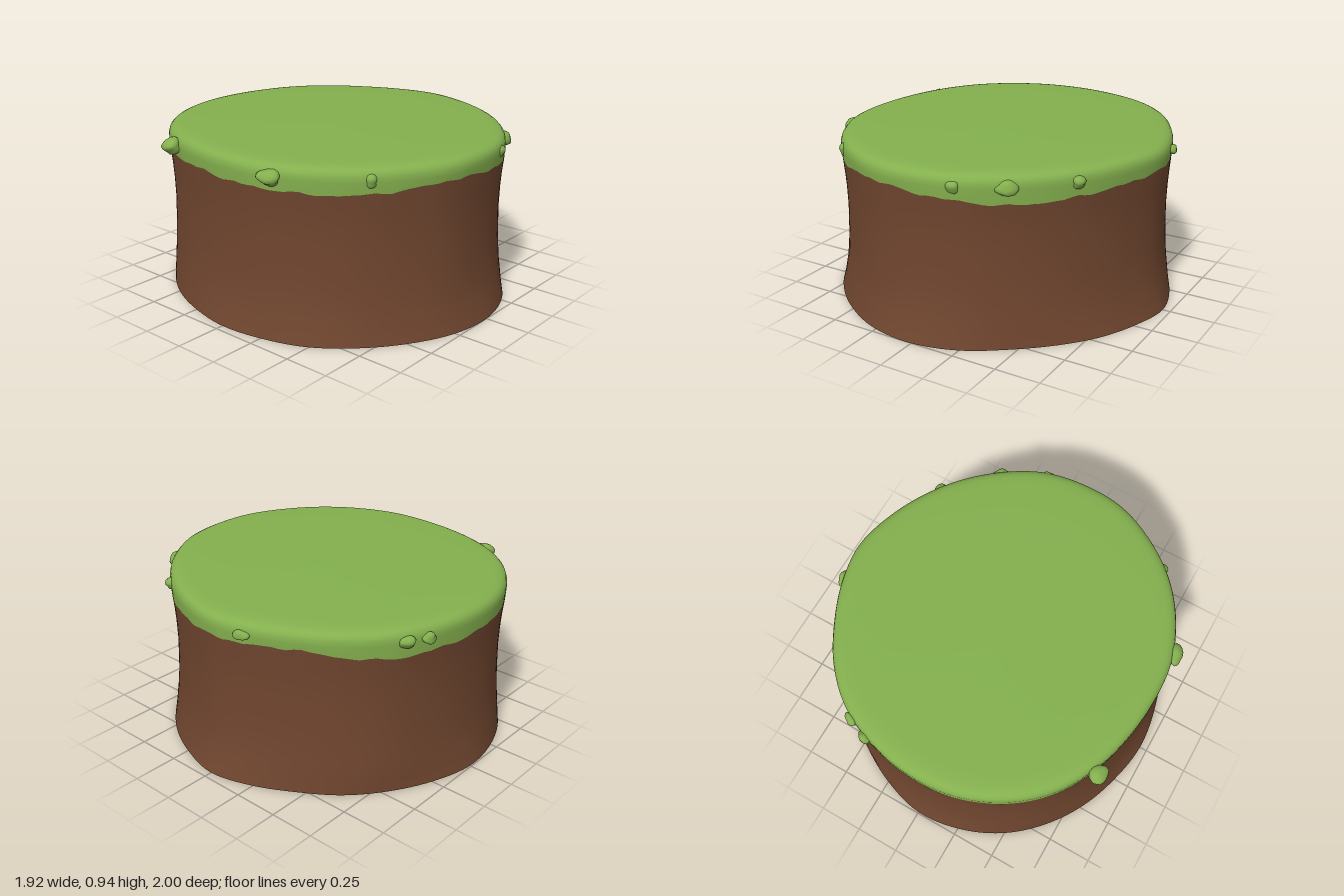
import * as THREE from 'three';
import { mergeVertices } from 'three/addons/utils/BufferGeometryUtils.js';

const SEG = 144;

// Values every 15 degrees, starting at +x and turning towards +z
const BASE = [.957, .932, .919, .911, .925, .97, 1, 1.002, .987, .98, .98, .963,
  .958, .947, .955, .97, .987, .994, .993, .96, .935, .922, .91, .93];
const RIM = [.902, .882, .874, .881, .9, .93, .943, .955, .946, .941, .931, .922,
  .905, .908, .93, .956, .966, .965, .953, .942, .936, .915, .893, .894];
const EDGE = [.8, .795, .785, .772, .765, .785, .8, .815, .8, .785, .785, .79,
  .79, .8, .79, .78, .785, .79, .78, .775, .77, .79, .815, .805];

// Smooth periodic lookup in one of the tables
function sample(table, angle) {
  const n = table.length;
  const t = angle / (Math.PI * 2) * n;
  const i = Math.floor(t), f = t - i;
  const [a, b, c, d] = [-1, 0, 1, 2].map(k => table[(i + k + n) % n]);
  return b + 0.5 * f * (c - a + f * (2 * a - 5 * b + 4 * c - d + f * (3 * (b - c) + d - a)));
}

// Ragged lower edge of the grass
const grassEdge = a => sample(EDGE, a)
  + 0.004 * Math.sin(a * 19 + 1) + 0.003 * Math.sin(a * 31) + 0.002 * Math.sin(a * 47 + 2);

// Closed rings joined into a surface; ring(angle, row) returns [radius, height]
function ringSurface(rows, ring) {
  const pos = [], index = [];
  for (let r = 0; r < rows; r++) {
    for (let s = 0; s < SEG; s++) {
      const a = s / SEG * Math.PI * 2;
      const [radius, y] = ring(a, r);
      pos.push(Math.cos(a) * radius, y, Math.sin(a) * radius);
      if (r === rows - 1) continue;
      const p = r * SEG + s, q = r * SEG + (s + 1) % SEG;
      index.push(p, p + SEG, q, q, p + SEG, q + SEG);
    }
  }
  const g = new THREE.BufferGeometry();
  g.setAttribute('position', new THREE.Float32BufferAttribute(pos, 3));
  g.setIndex(index);
  g.computeVertexNormals();
  return g;
}

// Lumpy smooth pebble shape
function tuftGeometry(seed) {
  let g = new THREE.IcosahedronGeometry(1, 2);
  g.deleteAttribute('uv');
  g.deleteAttribute('normal');
  g = mergeVertices(g, 1e-4);
  const p = g.attributes.position, v = new THREE.Vector3();
  for (let i = 0; i < p.count; i++) {
    v.fromBufferAttribute(p, i);
    const k = 1 + 0.13 * Math.sin(v.x * 3 + seed) + 0.12 * Math.sin(v.y * 4 + v.z * 3 + seed * 2);
    p.setXYZ(i, v.x * k, v.y * k, v.z * k);
  }
  g.computeVertexNormals();
  return g;
}

export function createModel() {
  const model = new THREE.Group();
  const earth = new THREE.MeshStandardMaterial({ color: 0x70462f, side: THREE.DoubleSide });
  earth.name = 'earthBrown';
  const grass = new THREE.MeshStandardMaterial({ color: 0x84b04e, side: THREE.DoubleSide });
  grass.name = 'grassGreen';

  const add = (name, geometry, material) => {
    const mesh = new THREE.Mesh(geometry, material);
    mesh.name = name;
    model.add(mesh);
    return mesh;
  };

  // Flared earth wall, open below: [height, share of base outline, waist inset]
  const wall = [[0, 1, 0], [.04, .76, 0], [.08, .55, 0], [.13, .33, 0], [.18, .18, .003], [.26, .08, .008],
    [.35, .02, .012], [.5, 0, .016], [.62, 0, .013], [.7, 0, .008], [.78, 0, 0]];
  add('earthWall', ringSurface(wall.length, (a, r) => {
    const [y, share, inset] = wall[r];
    const radius = THREE.MathUtils.lerp(sample(RIM, a), sample(BASE, a), share) - inset;
    return [radius, r === wall.length - 1 ? grassEdge(a) : y];
  }), earth);

  // Grass cap with rounded rim and faint dome: [height, radius factor]
  const cap = [[0, 1], [.845, 1.004], [.87, 1.003], [.89, .996], [.904, .982], [.913, .962],
    [.918, .935], [.922, .88], [.927, .7], [.932, .35], [.935, 0]];
  add('grassCap', ringSurface(cap.length, (a, r) =>
    [sample(RIM, a) * cap[r][1], r === 0 ? grassEdge(a) : cap[r][0]]), grass);

  // Tufts round the rim: [x, z, half width, half height, half depth]
  const tufts = [[-.89, .29, .06, .04, .04], [-.61, .7, .038, .032, .03], [.01, .925, .02, .02, .02],
    [.205, .9, .034, .032, .03], [.43, .78, .062, .042, .045], [.695, .53, .04, .028, .03],
    [.88, -.2, .04, .028, .028], [.415, -.85, .04, .03, .026], [.305, -.9, .04, .03, .026],
    [-.83, -.47, .058, .042, .05]];
  tufts.forEach(([x, z, w, h, d], i) => {
    const tuft = add('grassTuft' + (i + 1), tuftGeometry(i * 1.7), grass);
    tuft.position.set(x, .853, z);
    tuft.rotation.y = Math.atan2(x, z);
    tuft.scale.set(w, h, d);
  });

  return model;
}
